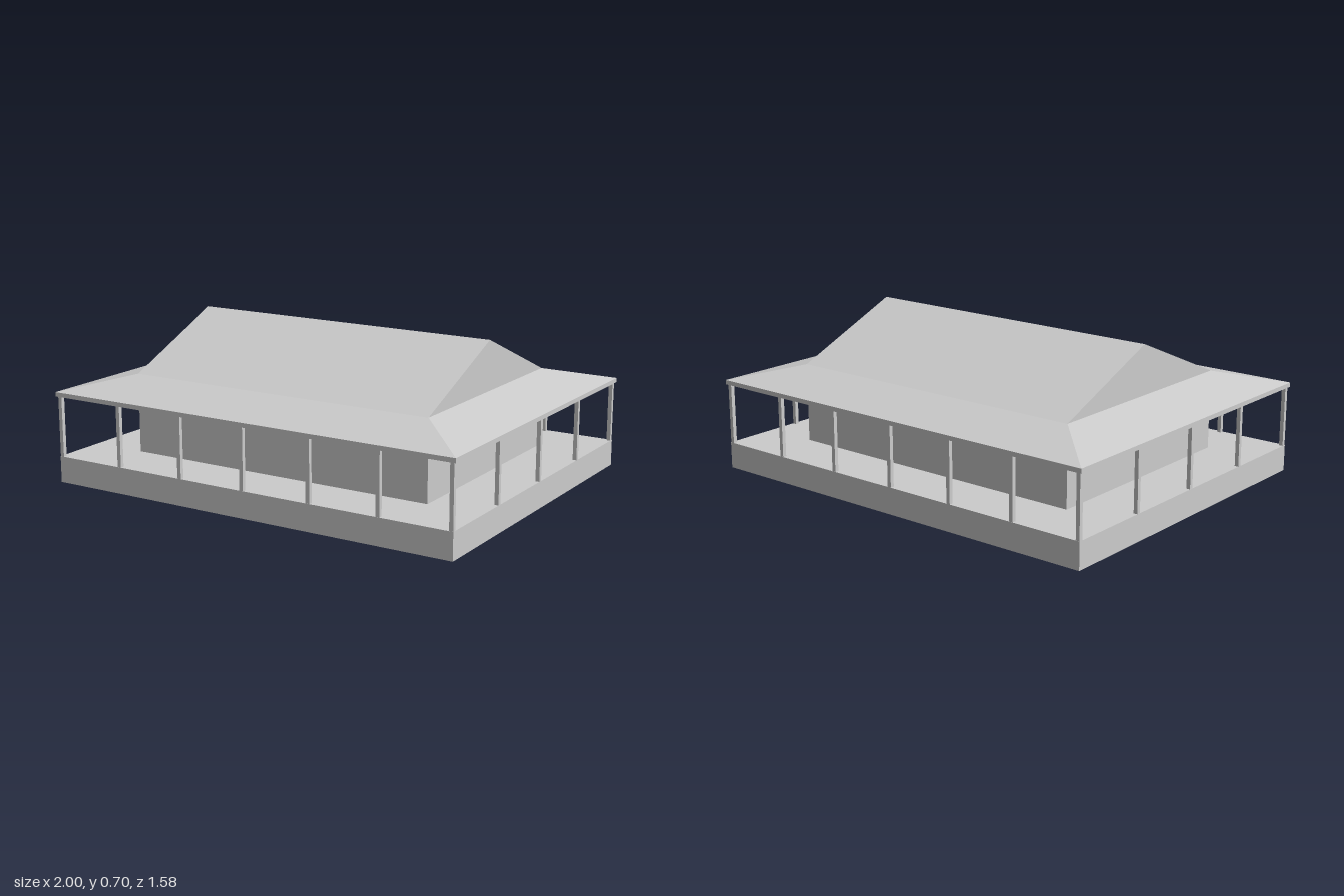
import * as THREE from 'three';

const material = new THREE.MeshStandardMaterial({ color: 0xcccccc, flatShading: true, side: THREE.DoubleSide });

// Mesh from faces, each a list of corners in counter-clockwise order
function facesMesh(name, faces) {
  const pos = [];
  for (const f of faces)
    for (let i = 1; i < f.length - 1; i++) pos.push(...f[0], ...f[i], ...f[i + 1]);
  const geometry = new THREE.BufferGeometry();
  geometry.setAttribute('position', new THREE.Float32BufferAttribute(pos, 3));
  geometry.computeVertexNormals();
  const mesh = new THREE.Mesh(geometry, material);
  mesh.name = name;
  return mesh;
}

// Rectangular bands joining successive levels [halfX, y, halfZ]
function bands(name, levels) {
  const corners = [[1, 1], [1, -1], [-1, -1], [-1, 1]];
  const loops = levels.map(([hx, y, hz]) => corners.map(([sx, sz]) => [sx * hx, y, sz * hz]));
  const faces = [];
  for (let l = 0; l < loops.length - 1; l++)
    for (let i = 0; i < 4; i++) {
      const j = (i + 1) % 4;
      faces.push([loops[l][i], loops[l][j], loops[l + 1][j], loops[l + 1][i]]);
    }
  return facesMesh(name, faces);
}

export function createModel() {
  const group = new THREE.Group();
  const floorY = 0.12, beamY = 0.395, eaveY = 0.415, breakY = 0.48, ridgeY = 0.703;
  const wallX = 0.74, wallZ = 0.53, eaveX = 1, eaveZ = 0.788, deckX = 0.992, deckZ = 0.782;

  // Hollow base: outer skirt and veranda floor around the room opening
  group.add(bands('verandaBase', [[deckX, 0, deckZ], [deckX, floorY, deckZ], [wallX, floorY, wallZ]]));
  group.add(bands('walls', [[wallX, floorY, wallZ], [wallX, breakY, wallZ]]));

  // Low-pitched veranda roof and its edge beam
  group.add(bands('verandaRoof', [[eaveX, eaveY, eaveZ], [wallX, breakY, wallZ]]));
  const inX = eaveX - 0.025, inZ = eaveZ - 0.025;
  group.add(bands('eaveBeam', [[inX, eaveY, inZ], [inX, beamY, inZ], [eaveX, beamY, eaveZ], [eaveX, eaveY, eaveZ]]));

  // Steeper main roof with upright gable ends
  const slopes = [], gables = [];
  for (const s of [1, -1]) {
    const a = [-s * wallX, breakY, s * wallZ], b = [s * wallX, breakY, s * wallZ];
    const c = [s * wallX, breakY, -s * wallZ];
    const r = [s * wallX, ridgeY, 0], q = [-s * wallX, ridgeY, 0];
    slopes.push([a, b, r, q]);
    gables.push([b, c, r]);
  }
  group.add(facesMesh('mainRoof', slopes));
  group.add(facesMesh('gableEnds', gables));

  // Veranda posts around the edge
  const posts = new THREE.Group();
  posts.name = 'posts';
  const postGeometry = new THREE.BoxGeometry(0.018, beamY - floorY, 0.018);
  const postX = 0.982, postZ = 0.772, baysX = 6, baysZ = 4;
  for (let i = 0; i <= baysX; i++)
    for (let k = 0; k <= baysZ; k++) {
      if (i % baysX !== 0 && k % baysZ !== 0) continue;
      const post = new THREE.Mesh(postGeometry, material);
      post.name = 'post';
      post.position.set(postX * (2 * i / baysX - 1), (floorY + beamY) / 2, postZ * (2 * k / baysZ - 1));
      posts.add(post);
    }
  group.add(posts);
  return group;
}
